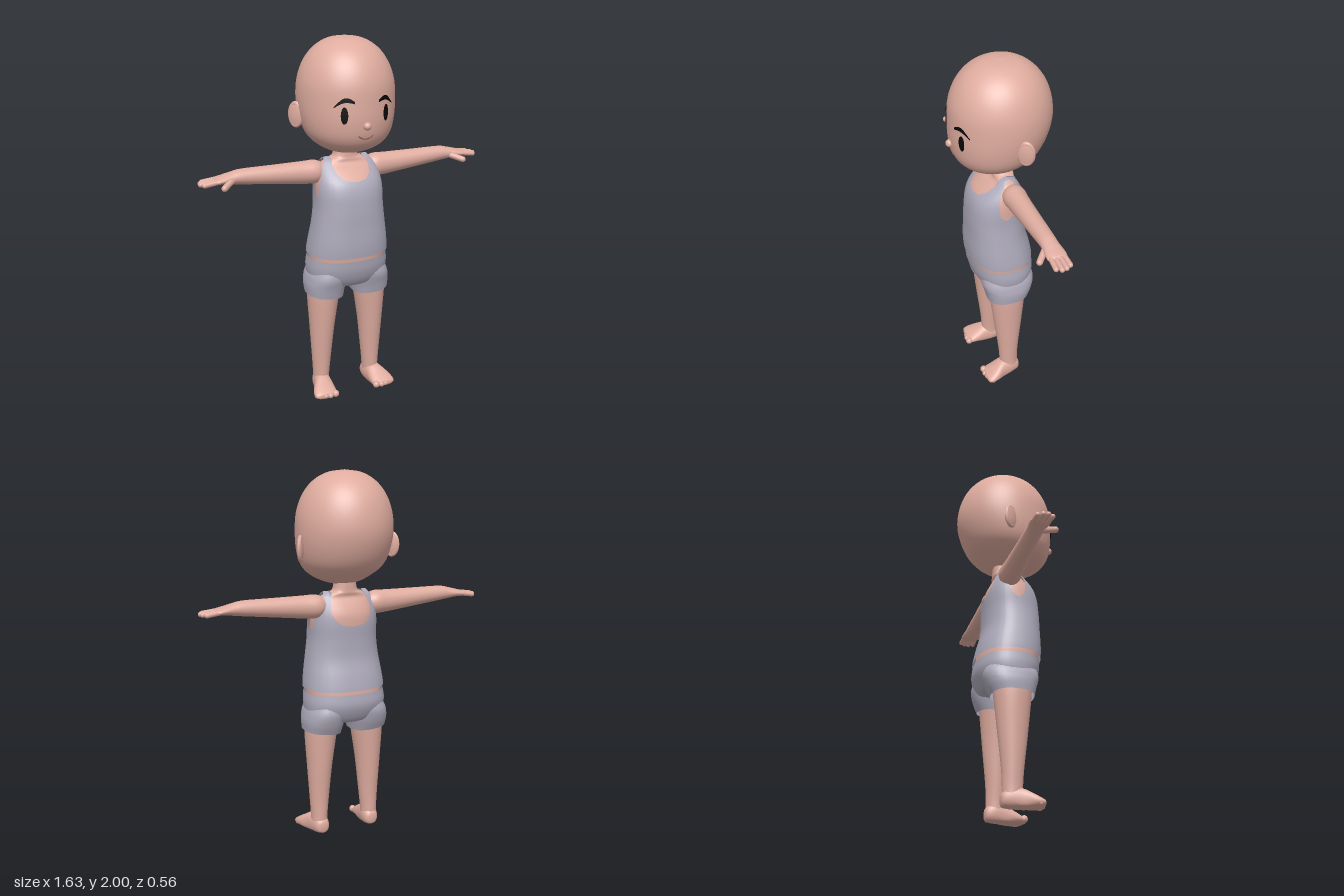
import * as THREE from 'three';

const flat = (name, color) => Object.assign(new THREE.MeshStandardMaterial({ color }), { name });

// Smooth curve through rows [t, ...values]
function spline(rows) {
  const n = rows[0].length - 1;
  const c = new THREE.CubicInterpolant(rows.map(r => r[0]), rows.flatMap(r => r.slice(1)), n, new Float32Array(n));
  return t => Array.from(c.evaluate(t));
}

function surface(points, cols, closed = true) {
  const index = [], rows = points.length / cols / 3;
  for (let i = 0; i < rows - 1; i++) for (let j = 0; j < (closed ? cols : cols - 1); j++) {
    const k = (j + 1) % cols, a = i * cols + j, b = i * cols + k, c = a + cols, d = b + cols;
    index.push(a, b, c, b, d, c);
  }
  const g = new THREE.BufferGeometry();
  g.setAttribute('position', new THREE.Float32BufferAttribute(points, 3));
  g.setIndex(index);
  g.computeVertexNormals();
  return g;
}

const pow = (v, p) => Math.sign(v) * Math.abs(v) ** p;

// Oval rings along an axis; row = [position, centre u, centre v, radius u, radius v]
// (axis y: u = z, v = x; axis x: u = y, v = z; axis z: u = x, v = y)
function loft(axis, rows, p = 1, seg = 32, sub = 4, floor = -1) {
  const f = spline(rows.map((r, i) => [i, ...r])), pts = [];
  const a = 'xyz'.indexOf(axis), n = (rows.length - 1) * sub;
  for (let i = 0; i <= n; i++) {
    const [h, cu, cv, ru, rv] = f(i / sub);
    for (let j = 0; j < seg; j++) {
      const t = j / seg * Math.PI * 2, q = [0, 0, 0];
      q[a] = h;
      q[(a + 1) % 3] = cu + Math.max(ru, 0) * pow(Math.cos(t), p);
      q[(a + 2) % 3] = cv + Math.max(rv, 0) * pow(Math.sin(t), p);
      q[1] = Math.max(q[1], floor);
      pts.push(...q);
    }
  }
  return surface(pts, seg);
}

// Upright ring from half width and front / back depth
const ring = (y, w, front, back, x = 0) => [y, (front + back) / 2, x, (front - back) / 2, w];

function capsule(a, b, r) {
  const from = new THREE.Vector3(...a), to = new THREE.Vector3(...b), d = to.clone().sub(from);
  const g = new THREE.CapsuleGeometry(r, d.length(), 6, 14);
  g.applyQuaternion(new THREE.Quaternion().setFromUnitVectors(new THREE.Vector3(0, 1, 0), d.normalize()));
  return g.translate(...from.add(to).multiplyScalar(0.5).toArray());
}

function mirrored(geo) {
  const g = geo.clone().scale(-1, 1, 1), ix = g.index.array;
  for (let i = 0; i < ix.length; i += 3) [ix[i], ix[i + 1]] = [ix[i + 1], ix[i]];
  g.computeVertexNormals();
  return g;
}

export function createModel() {
  const model = new THREE.Group();
  const skin = flat('skin', 0xdfac9f), cloth = flat('greyCloth', 0xaeaabb);
  const black = flat('black', 0x080808), lip = flat('lip', 0x8a574c);
  cloth.side = black.side = THREE.DoubleSide;
  const add = (name, geo, mat) => {
    const m = new THREE.Mesh(geo, mat);
    m.name = name;
    model.add(m);
    return m;
  };
  const pair = (name, geo, mat) => {
    add(name + 'Left', geo, mat);
    add(name + 'Right', mirrored(geo), mat);
  };

  // Head
  const head = add('head', loft('y', [
    ring(1.392, 0, 0.03, 0.03), ring(1.405, 0.09, 0.12, -0.06), ring(1.445, 0.172, 0.205, -0.13),
    ring(1.5, 0.225, 0.246, -0.2), ring(1.58, 0.252, 0.263, -0.247), ring(1.68, 0.262, 0.264, -0.274),
    ring(1.78, 0.254, 0.256, -0.268), ring(1.87, 0.222, 0.222, -0.236), ring(1.94, 0.168, 0.165, -0.18),
    ring(1.985, 0.092, 0.085, -0.105), ring(2, 0, -0.01, -0.01)], 1, 56, 6), skin);

  // Face details laid on the head surface
  const ray = new THREE.Raycaster();
  const faceZ = (x, y) => {
    ray.set(new THREE.Vector3(x, y, 2), new THREE.Vector3(0, 0, -1));
    const hit = ray.intersectObject(head)[0];
    return hit ? hit.point.z : 0.25;
  };
  const onFace = g => {
    const p = g.attributes.position;
    for (let i = 0; i < p.count; i++) p.setZ(i, faceZ(p.getX(i), p.getY(i)) + 0.005);
    g.computeVertexNormals();
    return g;
  };
  pair('eye', onFace(new THREE.CircleGeometry(1, 28).scale(0.017, 0.044, 1).translate(0.116, 1.632, 0)), black);
  const arch = spline([[0, 0.066, 1.697, 0.006], [1, 0.095, 1.709, 0.011], [2, 0.125, 1.706, 0.011], [3, 0.162, 1.675, 0.003]]);
  const brow = [];
  for (const side of [-1, 1]) for (let i = 0; i <= 12; i++) {
    const [x, y, r] = arch(i / 4);
    brow.push(x, y + side * r, 0);
  }
  pair('eyebrow', onFace(surface(brow, 13, false)), black);
  add('nose', new THREE.SphereGeometry(0.021, 20, 14).translate(0, 1.574, faceZ(0, 1.574) + 0.003), skin);
  const smile = [-0.042, -0.022, 0, 0.022, 0.042].map(x => {
    const y = 1.505 + 10 * x * x;
    return new THREE.Vector3(x, y, faceZ(x, y));
  });
  add('mouth', new THREE.TubeGeometry(new THREE.CatmullRomCurve3(smile), 20, 0.0032, 6), lip);

  // Ears
  const placeEar = g => g.rotateY(-0.6).translate(0.268, 1.6, -0.042);
  pair('ear', placeEar(new THREE.SphereGeometry(1, 24, 16).scale(0.016, 0.07, 0.047)), skin);
  pair('earRim', placeEar(new THREE.TorusGeometry(0.05, 0.011, 8, 28).rotateY(Math.PI / 2).scale(1, 1.16, 0.72)), skin);

  // Torso and neck
  const P = 0.85;
  const bodyRows = [[0.7, 0.205, 0.15, -0.15], [0.76, 0.217, 0.17, -0.165], [0.83, 0.222, 0.18, -0.163],
    [0.9, 0.215, 0.184, -0.15], [1, 0.2, 0.181, -0.125], [1.1, 0.188, 0.178, -0.12], [1.2, 0.186, 0.165, -0.122],
    [1.25, 0.18, 0.143, -0.115], [1.3, 0.167, 0.095, -0.092], [1.33, 0.155, 0.06, -0.074], [1.36, 0.13, 0.025, -0.048]];
  const body = spline(bodyRows);
  add('torso', loft('y', bodyRows.slice(0, -1).map(([y, w, f, b]) => ring(y, w - 0.01, f - 0.01, b + 0.01)).concat([
    ring(1.352, 0.1, 0.045, -0.068), ring(1.368, 0.068, 0.042, -0.068), ring(1.42, 0.058, 0.04, -0.068)]), P, 48), skin);

  // Tank top: every column rises to the armhole, strap or neckline
  const trim = (neck) => [[0, 1.15], [10, 1.175], [17, 1.24], [23, 1.3], [26, 1.355], [51, 1.355],
    [55, neck + 0.07], [63, neck + 0.035], [75, neck + 0.008], [90, neck]];
  const columns = [];
  const quarter = (neck, fn) => {
    const keys = trim(neck), out = [];
    for (let i = 0; i < keys.length - 1; i++) for (let k = 0; k < 4; k++) {
      const s = k / 4, [a, ya] = keys[i], [b, yb] = keys[i + 1];
      out.push([a + (b - a) * s, ya + (yb - ya) * s]);
    }
    out.push(keys.at(-1));
    return out.map(([a, y]) => [fn(a), y]);
  };
  columns.push(...quarter(1.25, a => a).slice(0, -1), ...quarter(1.25, a => 180 - a).reverse().slice(0, -1),
    ...quarter(1.18, a => 180 + a).slice(0, -1), ...quarter(1.18, a => 360 - a).reverse().slice(0, -1));
  const shirt = [], steps = 26;
  for (let i = 0; i <= steps + 1; i++) for (const [deg, top] of columns) {
    const y = 0.832 + (top - 0.832) * Math.min(i / steps, 1), [w, f, b] = body(y), t = deg * Math.PI / 180;
    const bridge = i > steps && top > 1.35;
    shirt.push((w + 0.004) * pow(Math.cos(t), P), y + (bridge ? 0.008 : 0),
      (f + b) / 2 + (bridge ? 0 : ((f - b) / 2 + 0.004) * pow(Math.sin(t), P)));
  }
  const shirtGeo = surface(shirt, columns.length);
  // Columns run against the loft direction, so turn the faces outward
  const ix = shirtGeo.index.array;
  for (let i = 0; i < ix.length; i += 3) [ix[i], ix[i + 1]] = [ix[i + 1], ix[i]];
  shirtGeo.computeVertexNormals();
  add('tankTop', shirtGeo, cloth);

  // Shorts
  add('shortsHips', loft('y', [ring(0.635, 0.03, 0.05, -0.06), ring(0.65, 0.15, 0.115, -0.12),
    ring(0.69, 0.215, 0.148, -0.15), ring(0.75, 0.228, 0.17, -0.17), ring(0.812, 0.222, 0.178, -0.165)], P, 48), cloth);
  const shortLeg = loft('y', [ring(0.588, 0.102, 0.118, -0.112, 0.136), ring(0.64, 0.108, 0.13, -0.135, 0.133),
    ring(0.7, 0.11, 0.146, -0.15, 0.122), ring(0.75, 0.1, 0.14, -0.14, 0.11)], P);
  const sp = shortLeg.attributes.position;
  for (let i = 0; i < sp.count; i++) if (sp.getY(i) < 0.66) sp.setY(i, sp.getY(i) + (sp.getX(i) - 0.136) * 0.1);
  shortLeg.computeVertexNormals();
  pair('shortsLeg', shortLeg, cloth);

  // Legs, feet and toes
  pair('leg', loft('y', [ring(0.04, 0.045, 0.045, -0.055, 0.155), ring(0.1, 0.046, 0.05, -0.056, 0.154),
    ring(0.2, 0.054, 0.058, -0.06, 0.152), ring(0.4, 0.07, 0.082, -0.08, 0.148),
    ring(0.6, 0.09, 0.104, -0.1, 0.139), ring(0.7, 0.09, 0.11, -0.11, 0.128)]), skin);
  pair('foot', loft('z', [[-0.066, 0.152, 0.035, 0, 0], [-0.058, 0.152, 0.035, 0.032, 0.035],
    [-0.02, 0.154, 0.04, 0.047, 0.055], [0.04, 0.163, 0.035, 0.052, 0.062], [0.09, 0.175, 0.028, 0.064, 0.042],
    [0.13, 0.18, 0.02, 0.066, 0.026], [0.148, 0.18, 0.018, 0.05, 0.015], [0.152, 0.18, 0.018, 0, 0]], 0.9, 32, 4, 0), skin);
  [[0.128, 0.145, 0.02], [0.16, 0.148, 0.016], [0.187, 0.142, 0.015], [0.211, 0.133, 0.014], [0.232, 0.12, 0.013]]
    .forEach(([x, z, r], i) => pair('toe' + (i + 1), new THREE.SphereGeometry(r, 14, 10).translate(x, r, z), skin));

  // Arms and hands
  pair('arm', loft('x', [[0.12, 1.285, -0.02, 0.04, 0.04], [0.17, 1.286, -0.02, 0.063, 0.062],
    [0.25, 1.288, -0.02, 0.061, 0.057], [0.4, 1.296, -0.02, 0.052, 0.051], [0.58, 1.306, -0.02, 0.041, 0.045],
    [0.64, 1.305, -0.02, 0.032, 0.045], [0.69, 1.302, -0.02, 0.022, 0.051], [0.73, 1.297, -0.02, 0.016, 0.047],
    [0.745, 1.295, -0.02, 0, 0]]), skin);
  [[-0.058, 0.785], [-0.033, 0.8], [-0.008, 0.804], [0.017, 0.79]].forEach(([z, tip], i) =>
    pair('finger' + (i + 1), capsule([0.71, 1.3, -0.02 + (z + 0.02) * 0.9], [tip, 1.29, z], 0.0135), skin));
  pair('thumb', capsule([0.64, 1.298, 0.008], [0.7, 1.276, 0.062], 0.0165), skin);

  return model;
}
